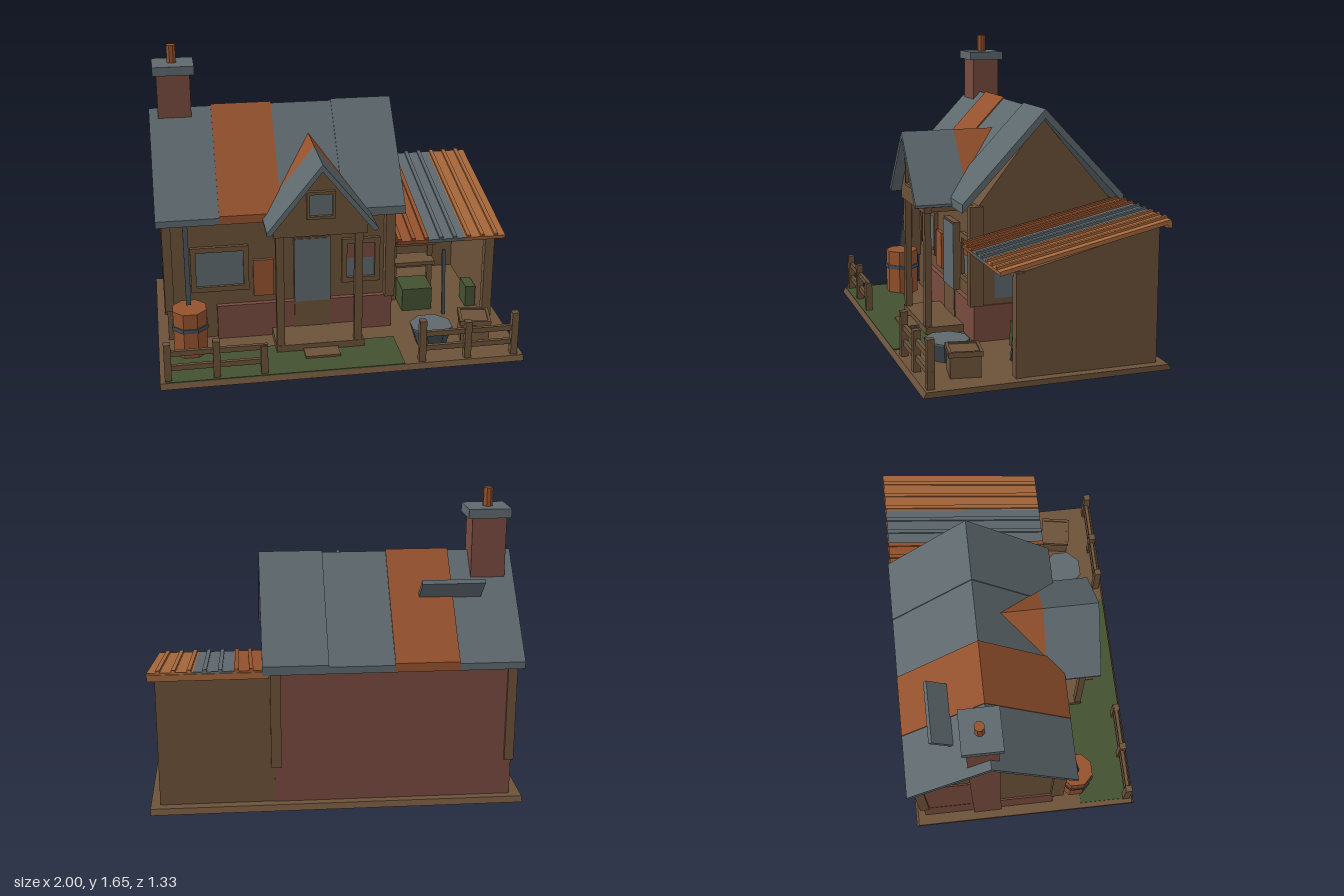
import * as THREE from 'three';

const mat = (name, color) => {
  const m = new THREE.MeshStandardMaterial({ color });
  m.name = name;
  return m;
};

export function createModel() {
  const root = new THREE.Group();
  root.name = 'cottage';
  const wood = mat('weathered wood', 0x6b5139);
  const brick = mat('brick', 0x774a3e);
  const slate = mat('slate', 0x5d686d);
  const rust = mat('rust', 0x94512d);
  const lightRust = mat('light rust', 0xa5663a);
  const grass = mat('grass', 0x435030);
  const iron = mat('dark iron', 0x434d54);

  const add = (name, geo, m, parent = root) => {
    const mesh = new THREE.Mesh(geo, m);
    mesh.name = name;
    parent.add(mesh);
    return mesh;
  };
  // Box from its limits on each axis
  const box = (name, m, x0, x1, y0, y1, z0, z1, parent) => {
    const g = new THREE.BoxGeometry(x1 - x0, y1 - y0, z1 - z0);
    g.translate((x0 + x1) / 2, (y0 + y1) / 2, (z0 + z1) / 2);
    return add(name, g, m, parent);
  };
  const extrude = (pts, depth) => new THREE.ExtrudeGeometry(
    new THREE.Shape(pts.map(p => new THREE.Vector2(p[0], p[1]))), { depth, bevelEnabled: false });
  // Side profile of [z, y] points, drawn out along x
  const alongX = (name, m, pts, x0, x1, parent) =>
    add(name, extrude(pts, x1 - x0).rotateY(-Math.PI / 2).translate(x1, 0, 0), m, parent);
  // Front profile of [x, y] points, drawn out along z
  const alongZ = (name, m, pts, z0, z1, parent) =>
    add(name, extrude(pts, z1 - z0).translate(0, 0, z0), m, parent);
  const cyl = (name, m, rTop, rBottom, y0, y1, x, z, sides) => {
    const g = new THREE.CylinderGeometry(rTop, rBottom, y1 - y0, sides).toNonIndexed();
    g.rotateY(Math.PI / sides).translate(x, (y0 + y1) / 2, z);
    g.computeVertexNormals();
    return add(name, g, m);
  };
  // Straight beam between two points in a plane of constant x
  const beam = (name, m, x, a, b, width, thick) => {
    const dz = b[0] - a[0], dy = b[1] - a[1];
    const mesh = add(name, new THREE.BoxGeometry(width, thick, Math.hypot(dz, dy)), m);
    mesh.position.set(x, (a[1] + b[1]) / 2, (a[0] + b[0]) / 2);
    mesh.rotation.x = -Math.atan2(dy, dz);
    return mesh;
  };

  // Ground
  alongX('base', wood, [[-0.665, 0], [0.665, 0], [0.65, 0.03], [-0.65, 0.03]], -1, 1);
  box('lawn', grass, -0.97, 0.33, 0.028, 0.036, 0.34, 0.652);
  box('pathSlab', slate, -0.2, 0, 0.03, 0.04, 0.42, 0.49);

  // House body, with brick back, plinth and chimney breast
  alongX('houseBody', wood, [[-0.6, 0.03], [0.17, 0.03], [0.17, 0.79], [-0.195, 1.255], [-0.6, 0.79]], -0.93, 0.335);
  box('backBrick', brick, -0.93, 0.335, 0.03, 0.79, -0.608, -0.59);
  box('frontPlinth', brick, -0.66, 0.345, 0.03, 0.235, 0.16, 0.2);
  box('rightPlinth', brick, 0.33, 0.345, 0.03, 0.235, -0.58, 0.18);
  box('leftPlinth', brick, -0.94, -0.92, 0.03, 0.235, -0.605, 0.17);
  box('leftBrick', brick, -0.938, -0.92, 0.03, 0.79, -0.605, -0.145);
  box('chimneyBreast', brick, -0.955, -0.9, 0.03, 1.15, -0.31, -0.145);
  for (const [x0, x1] of [[-0.95, -0.9], [0.3, 0.355]]) {
    box('frontCornerPost', wood, x0, x1, 0.235, 0.79, 0.15, 0.225);
    box('backCornerPost', wood, x0, x1, 0.235, 0.76, -0.625, -0.57);
  }
  box('wallPlate', wood, -0.93, 0.335, 0.73, 0.79, 0.16, 0.19);

  // Main roof panels on both slopes
  const panels = [[-0.98, -0.635, slate, 0], [-0.635, -0.295, rust, 0.01],
    [-0.295, 0.05, slate, 0], [0.05, 0.395, slate, 0.01]];
  for (const [x0, x1, m, up] of panels) {
    for (const [eave, name] of [[0.28, 'frontRoofPanel'], [-0.66, 'backRoofPanel']]) {
      const pts = [[eave, 0.805 + up], [-0.19, 1.3 + up], [-0.19, 1.258], [eave, 0.767]];
      alongX(name, m, eave > 0 ? pts : pts.reverse(), x0, x1);
    }
  }
  beam('loosePanel', slate, -0.62, [-0.37, 1.085], [-0.49, 1.2], 0.335, 0.025);

  // Chimney
  box('chimney', brick, -0.93, -0.745, 1.0, 1.5, -0.31, -0.145);
  box('chimneyCap', slate, -0.95, -0.72, 1.5, 1.55, -0.33, -0.12);
  cyl('chimneyPot', rust, 0.027, 0.027, 1.55, 1.65, -0.84, -0.23, 8);

  // Porch
  const chevron = [[-0.4, 0.77], [-0.38, 0.765], [-0.1, 1.115], [0.18, 0.765], [0.2, 0.77], [0.2, 0.785], [-0.1, 1.155], [-0.4, 0.785]];
  alongZ('porchRoof', slate, chevron, 0.18, 0.485);
  alongZ('porchRoofBack', rust, chevron, -0.1, 0.18);
  alongZ('porchGable', wood, [[-0.36, 0.78], [0.16, 0.78], [-0.1, 1.115]], 0.4, 0.425);
  box('porchFrontBeam', wood, -0.36, 0.155, 0.73, 0.79, 0.38, 0.425);
  for (const x of [-0.325, 0.11]) {
    box('porchPost', wood, x - 0.022, x + 0.022, 0.03, 0.74, 0.38, 0.417);
    box('porchSideBeam', wood, x - 0.022, x + 0.022, 0.73, 0.775, 0.17, 0.4);
  }
  box('porchFloor', wood, -0.35, 0.145, 0.03, 0.075, 0.17, 0.42);
  box('porchStep', wood, -0.2, -0.005, 0.03, 0.048, 0.42, 0.515);

  // Window facing front: four frame bars around a pane
  const frontWindow = (x0, x1, y0, y1, z, b) => {
    const g = new THREE.Group();
    g.name = 'window';
    root.add(g);
    box('windowPane', slate, x0 + b, x1 - b, y0 + b, y1 - b, z - 0.004, z + 0.005, g);
    for (const y of [y0, y1 - b]) box('windowRail', wood, x0, x1, y, y + b, z - 0.01, z + 0.022, g);
    for (const x of [x0, x1 - b]) box('windowStile', wood, x, x + b, y0, y1, z - 0.01, z + 0.022, g);
  };
  frontWindow(-0.8, -0.475, 0.325, 0.595, 0.17, 0.03);
  frontWindow(0.055, 0.275, 0.325, 0.595, 0.17, 0.03);
  frontWindow(-0.18, -0.025, 0.835, 0.99, 0.425, 0.016);
  box('panePatch', brick, 0.085, 0.245, 0.47, 0.565, 0.17, 0.179);
  box('sideWindow', slate, 0.33, 0.342, 0.27, 0.47, -0.06, 0.08);

  // Door
  box('door', wood, -0.22, -0.015, 0.075, 0.63, 0.17, 0.206);
  box('doorPanel', slate, -0.22, -0.015, 0.235, 0.62, 0.204, 0.21);
  box('wallBoard', rust, -0.45, -0.335, 0.28, 0.5, 0.17, 0.19);

  // Lean-to shed, open at the front
  alongX('shedSideWall', wood, [[-0.6, 0.03], [0.165, 0.03], [0.165, 0.57], [-0.6, 0.755]], 0.91, 0.95);
  box('shedBackWall', wood, 0.33, 0.95, 0.03, 0.755, -0.602, -0.565);
  box('shedFrontBeam', wood, 0.335, 0.95, 0.54, 0.58, 0.13, 0.17);
  box('shedPost', wood, 0.9, 0.955, 0.03, 0.57, 0.13, 0.175);
  const sheets = [[0.355, 0.54, rust, [0.37, 0.45, 0.525]], [0.54, 0.75, slate, [0.61, 0.69]],
    [0.75, 0.985, lightRust, [0.77, 0.85, 0.93]]];
  for (const [x0, x1, m, ribs] of sheets) {
    beam('shedRoofSheet', m, (x0 + x1) / 2, [0.27, 0.583], [-0.65, 0.783], x1 - x0, 0.022);
    for (const x of ribs) beam('shedRoofRib', m, x, [0.27, 0.6], [-0.65, 0.798], 0.022, 0.016);
  }
  box('shedRoofBatten', lightRust, 0.36, 0.985, 0.75, 0.785, -0.655, -0.63);

  // Shelf and stored things in the shed
  for (const x of [0.43, 0.65]) box('shelfUpright', wood, x - 0.015, x + 0.015, 0.03, 0.53, -0.16, -0.12);
  for (const y of [0.29, 0.42, 0.49]) box('shelfBoard', wood, 0.42, 0.66, y, y + 0.022, -0.18, -0.04);
  box('shelfTin', slate, 0.45, 0.62, 0.462, 0.49, -0.16, -0.06);
  box('greenChest', grass, 0.45, 0.63, 0.03, 0.17, -0.15, 0.03);
  box('greenBale', grass, 0.84, 0.9, 0.03, 0.16, -0.1, 0.03);
  beam('toolHandle', iron, 0.685, [0.1, 0.03], [0.06, 0.43], 0.018, 0.018);

  // Rain barrel and downpipe
  cyl('rainBarrel', rust, 0.1, 0.1, 0.03, 0.3, -0.82, 0.315, 8);
  cyl('barrelBand', iron, 0.107, 0.107, 0.188, 0.212, -0.82, 0.315, 8);
  beam('downpipe', iron, -0.822, [0.25, 0.76], [0.315, 0.32], 0.027, 0.03);

  // Wash tub and crate
  cyl('washTub', iron, 0.122, 0.09, 0.03, 0.13, 0.53, 0.41, 8);
  cyl('tubWater', slate, 0.122, 0.122, 0.128, 0.135, 0.53, 0.41, 8);
  const crate = new THREE.Group();
  crate.name = 'crate';
  crate.position.set(0.785, 0, 0.395);
  crate.rotation.y = -0.17;
  root.add(crate);
  box('crateBody', wood, -0.08, 0.08, 0.03, 0.16, -0.08, 0.08, crate);
  for (const s of [-1, 1]) {
    box('crateEdge', wood, -0.088, 0.088, 0.14, 0.168, s * 0.08 - 0.008, s * 0.08 + 0.008, crate);
    box('crateEdge', wood, s * 0.08 - 0.008, s * 0.08 + 0.008, 0.14, 0.168, -0.088, 0.088, crate);
  }

  // Front fences
  const fences = [[[-0.955, 0.25], [-0.695, 0.25], [-0.44, 0.2]], [[0.43, 0.275], [0.685, 0.25], [0.95, 0.285]]];
  for (const posts of fences) {
    for (const [x, h] of posts) box('fencePost', wood, x - 0.019, x + 0.019, 0.03, h, 0.598, 0.637);
    for (const y of [0.09, 0.175]) {
      box('fenceRail', wood, posts[0][0], posts[2][0] + 0.02, y, y + 0.03, 0.605, 0.625);
    }
  }
  return root;
}
